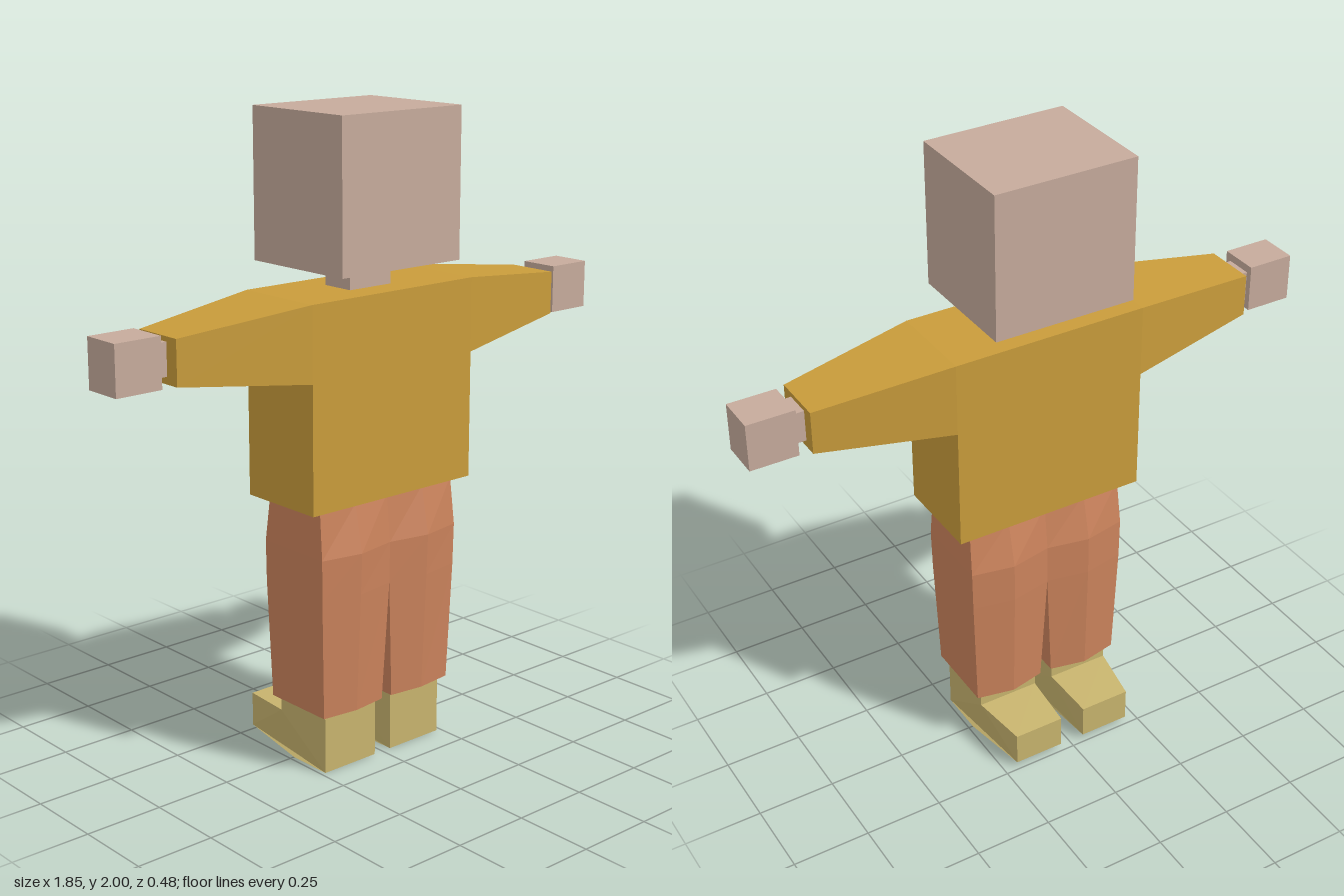
import * as THREE from 'three';

const SKIN = 0xc6ab9c, SHIRT = 0xc99c3b, TROUSERS = 0xcb835c, SHOES = 0xc8b46e;

function part(name, geometry, color) {
  const flat = geometry.index ? geometry.toNonIndexed() : geometry;
  flat.computeVertexNormals();
  const mesh = new THREE.Mesh(flat, new THREE.MeshStandardMaterial({ color, flatShading: true }));
  mesh.name = name;
  return mesh;
}

// Box given by its limits on each axis
function block(x0, x1, y0, y1, z0, z1) {
  return new THREE.BoxGeometry(x1 - x0, y1 - y0, z1 - z0)
    .translate((x0 + x1) / 2, (y0 + y1) / 2, (z0 + z1) / 2);
}

// Moves every vertex by a rule (x, y, z) => [x, y, z]
function reshape(geometry, rule) {
  const p = geometry.attributes.position;
  for (let i = 0; i < p.count; i++) p.setXYZ(i, ...rule(p.getX(i), p.getY(i), p.getZ(i)));
  return geometry;
}

// Sleeve tapering from the shoulder to the cuff
function sleeve(side) {
  return reshape(new THREE.BoxGeometry(1, 1, 1), (x, y, z) => {
    const cuff = x * side > 0;
    return [side * (cuff ? 0.74 : 0.315),
      cuff ? (y > 0 ? 1.43 : 1.295) : (y > 0 ? 1.475 : 1.245),
      cuff ? (z > 0 ? 0.13 : -0.04) : (z > 0 ? 0.195 : -0.1)];
  });
}

// Trouser leg rows from hem to waist: y, inner x, outer x, edge back/front z, ridge back/front z
const LEG_ROWS = [
  [0.19, 0.02, 0.255, -0.075, 0.168, -0.1, 0.182],
  [0.57, 0, 0.268, -0.083, 0.178, -0.11, 0.2],
  [0.7, 0, 0.27, -0.083, 0.18, -0.11, 0.205],
  [0.85, 0, 0.265, -0.065, 0.165, -0.075, 0.175],
];

function trouserLeg(side) {
  return reshape(new THREE.BoxGeometry(2, 3, 1, 2, 3, 1), (x, y, z) => {
    const [h, inner, outer, e0, e1, r0, r1] = LEG_ROWS[Math.round(y + 1.5)];
    const ridge = Math.abs(x) < 0.1;
    const px = ridge ? 0.135 : x * side > 0 ? outer : inner;
    return [side * px, h, z > 0 ? (ridge ? r1 : e1) : (ridge ? r0 : e0)];
  });
}

// Shoe: side profile (toe direction, height) extruded sideways, narrowed toward the toe
function shoe(side) {
  const profile = [[-0.15, 0], [0, 0], [0.24, 0.02], [0.24, 0.13], [0.06, 0.14], [0.06, 0.19], [-0.15, 0.19]];
  const shape = new THREE.Shape(profile.map(([u, v]) => new THREE.Vector2(u, v)));
  const geometry = new THREE.ExtrudeGeometry(shape, { depth: 1, bevelEnabled: false }).rotateY(Math.PI / 2);
  return reshape(geometry, (x, y, z) => {
    const isOuter = (x > 0.5) === (side > 0);
    const toe = z < -0.2;
    return [side * (isOuter ? (toe ? 0.207 : 0.235) : (toe ? 0.042 : 0.032)), y, z];
  });
}

export function createModel() {
  const group = new THREE.Group();
  group.name = 'blockFigure';

  // Head, neck and shirt body
  group.add(
    part('head', block(-0.245, 0.213, 1.547, 2, -0.15, 0.243), SKIN),
    part('neck', block(-0.095, 0.065, 1.46, 1.56, -0.005, 0.105), SKIN),
    part('shirtBody', block(-0.315, 0.315, 0.85, 1.475, -0.1, 0.195), SHIRT),
  );

  // Mirrored limbs
  for (const side of [1, -1]) {
    const label = side > 0 ? 'left' : 'right';
    const span = (a, b) => (side > 0 ? [a, b] : [-b, -a]);
    group.add(
      part(label + 'Sleeve', sleeve(side), SHIRT),
      part(label + 'Wrist', block(...span(0.72, 0.79), 1.317, 1.415, 0, 0.085), SKIN),
      part(label + 'Hand', block(...span(0.773, 0.924), 1.29, 1.44, -0.02, 0.107), SKIN),
      part(label + 'TrouserLeg', trouserLeg(side), TROUSERS),
      part(label + 'Shoe', shoe(side), SHOES),
    );
  }
  return group;
}
